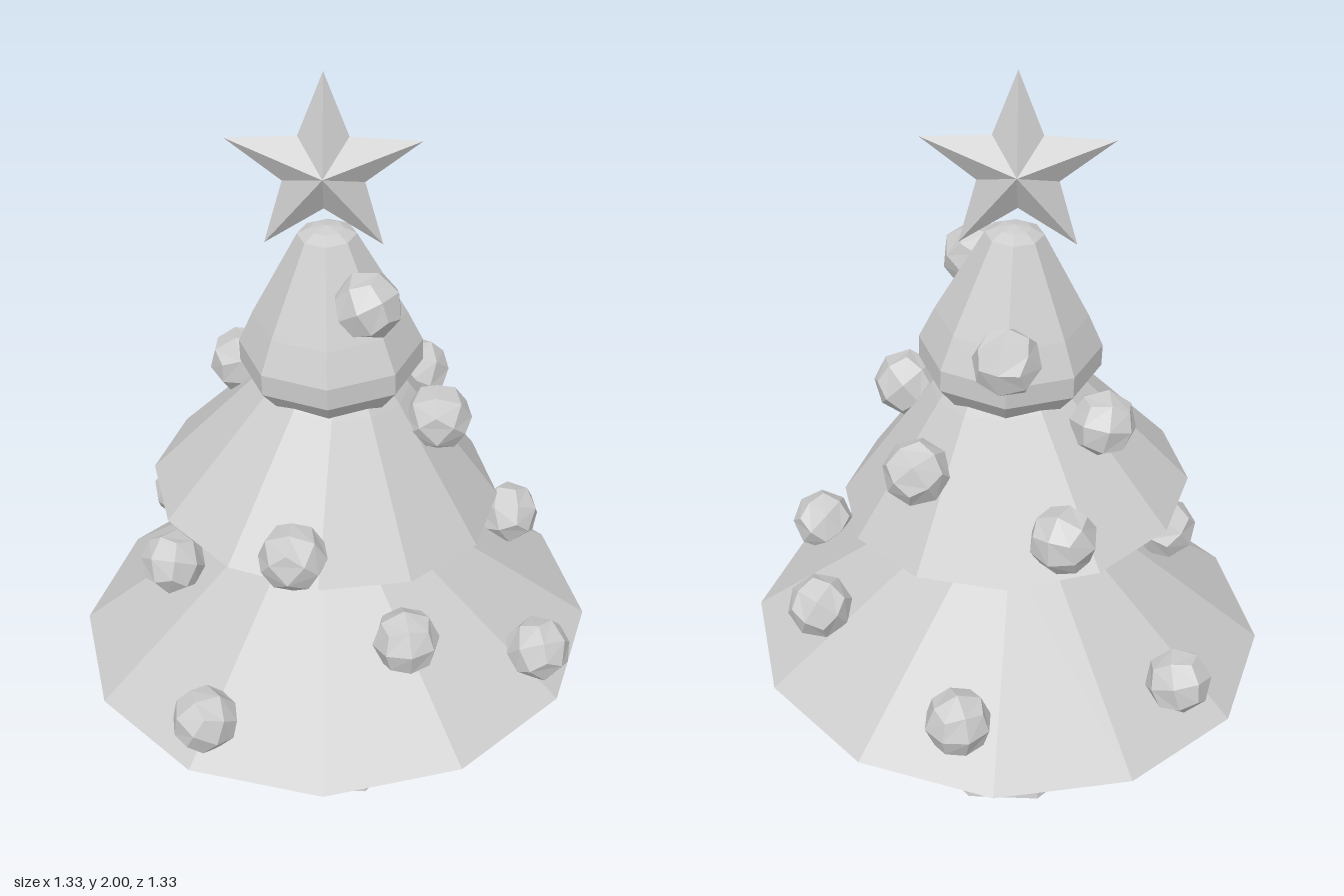
import * as THREE from 'three';

const mat = new THREE.MeshStandardMaterial({ color: 0xcccccc, flatShading: true });

function addMesh(parent, name, geometry) {
  const mesh = new THREE.Mesh(geometry, mat);
  mesh.name = name;
  parent.add(mesh);
  return mesh;
}

// Faceted tier of branches: profile of [radius, height above pivot], bottom to top
function addTier(parent, name, sides, x, y, tilt, profile) {
  const points = profile.map(([r, h]) => new THREE.Vector2(r, h));
  const tier = addMesh(parent, name, new THREE.LatheGeometry(points, sides));
  tier.position.set(x, y, 0);
  tier.rotation.z = tilt;
}

// Octagonal trunk with a slightly uneven cut at the foot
function trunkGeometry() {
  const geo = new THREE.CylinderGeometry(0.165, 0.245, 0.42, 8, 1, false, Math.PI / 8);
  geo.translate(0, 0.21, 0);
  const p = geo.attributes.position;
  for (let i = 0; i < p.count; i++) {
    if (p.getY(i) > 0.2) p.setX(i, p.getX(i) - 0.015);
    else if (Math.abs(p.getX(i)) > 0.15) p.setY(i, p.getX(i) > 0 ? 0.035 : 0.025);
  }
  return geo;
}

// Cube subdivided once and rounded out to a ball of quads
function baubleGeometry(radius) {
  const geo = new THREE.BoxGeometry(1, 1, 1, 2, 2, 2);
  const p = geo.attributes.position;
  const v = new THREE.Vector3();
  for (let i = 0; i < p.count; i++) {
    v.fromBufferAttribute(p, i).setLength(radius);
    p.setXYZ(i, v.x, v.y, v.z);
  }
  return geo;
}

// Five-pointed star rising to a ridge point at front and back
function starGeometry(outer, inner, depth) {
  const rim = (i) => {
    const a = (i * Math.PI) / 5;
    const r = i % 2 ? inner : outer;
    return [-Math.sin(a) * r, Math.cos(a) * r, 0];
  };
  const verts = [];
  for (let i = 0; i < 10; i++) {
    verts.push(...rim(i), ...rim(i + 1), 0, 0, depth);
    verts.push(...rim(i + 1), ...rim(i), 0, 0, -depth);
  }
  const geo = new THREE.BufferGeometry();
  geo.setAttribute('position', new THREE.Float32BufferAttribute(verts, 3));
  geo.computeVertexNormals();
  return geo;
}

export function createModel() {
  const tree = new THREE.Group();
  tree.name = 'decoratedTree';

  addMesh(tree, 'trunk', trunkGeometry());

  // Branch tiers, each tipped a little to one side
  addTier(tree, 'lowerTier', 12, 0, 0.44, 0.045,
    [[0, -0.09], [0.53, -0.09], [0.665, 0], [0.2, 0.36], [0.12, 0.44], [0, 0.46]]);
  addTier(tree, 'middleTier', 12, -0.02, 0.89, -0.07,
    [[0, -0.09], [0.28, -0.09], [0.437, 0], [0.185, 0.31], [0.1, 0.4], [0, 0.42]]);
  addTier(tree, 'upperTier', 8, -0.007, 1.28, 0.03,
    [[0, -0.09], [0.17, -0.09], [0.222, -0.025], [0.222, 0.03], [0.185, 0.11],
      [0.07, 0.32], [0.04, 0.335], [0, 0.342]]);

  // Baubles resting on the tiers
  const baubles = new THREE.Group();
  baubles.name = 'baubles';
  tree.add(baubles);
  const baubleGeo = baubleGeometry(0.083);
  [
    [0.09, 0.58, -0.555], [-0.44, 0.57, -0.37], [-0.41, 0.69, 0.1],
    [0.465, 0.64, -0.21], [0.525, 0.565, 0.255], [0.19, 0.695, 0.385],
    [-0.295, 0.53, 0.505], [-0.15, 1.0, -0.38], [-0.235, 1.165, -0.13],
    [0.205, 1.08, -0.235], [0.255, 1.14, 0.07], [-0.08, 0.975, 0.42],
    [-0.01, 1.385, -0.225], [0.083, 1.48, 0.12],
  ].forEach((pos, i) => {
    const bauble = addMesh(baubles, `bauble${i + 1}`, baubleGeo);
    bauble.position.set(...pos);
    bauble.rotation.set(i * 1.3, i * 0.9 + 0.4, i * 0.7);
  });

  const star = addMesh(tree, 'star', starGeometry(0.236, 0.1, 0.057));
  star.position.set(-0.024, 1.764, 0);

  return tree;
}
